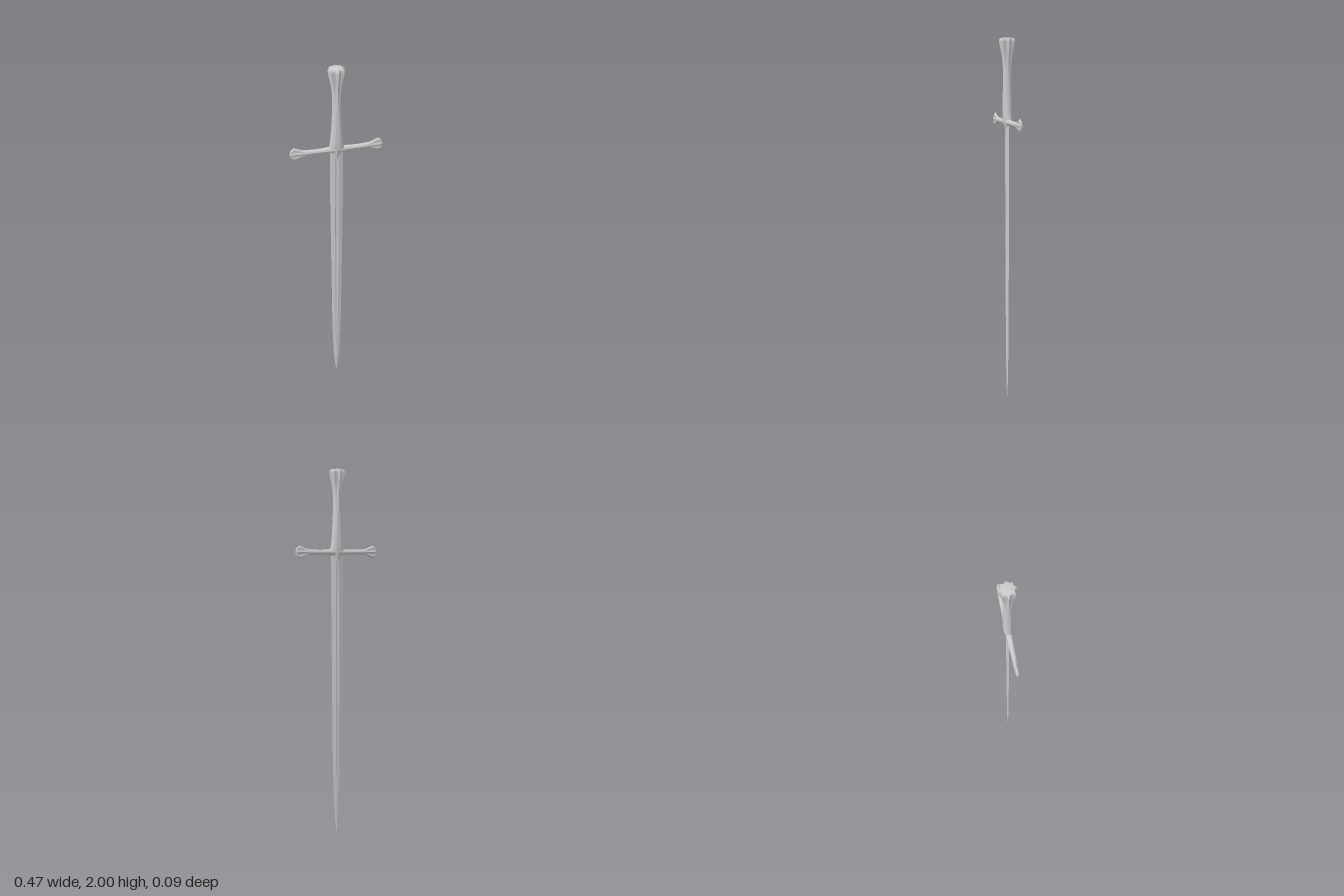
import * as THREE from 'three';
import { toCreasedNormals } from 'three/addons/utils/BufferGeometryUtils.js';

const material = new THREE.MeshStandardMaterial({ color: 0xcccccc });

// Skins rings of [x, y, z] points that run counter-clockwise about the loft direction, with fan caps
function loft(name, rings, crease = 0.6) {
  const n = rings[0].length, points = rings.flat(), index = [];
  const centre = (ring) => [0, 1, 2].map((k) => ring.reduce((s, p) => s + p[k], 0) / n);
  const start = points.length, end = start + 1, last = (rings.length - 1) * n;
  points.push(centre(rings[0]), centre(rings[rings.length - 1]));
  for (let j = 0; j < n; j++) {
    const k = (j + 1) % n;
    for (let i = 0; i < last; i += n) {
      index.push(i + j, i + k, i + n + j, i + k, i + n + k, i + n + j);
    }
    index.push(start, k, j, end, last + j, last + k);
  }
  const geometry = new THREE.BufferGeometry();
  geometry.setAttribute('position', new THREE.Float32BufferAttribute(points.flat(), 3));
  geometry.setIndex(index);
  const mesh = new THREE.Mesh(toCreasedNormals(geometry, crease), material);
  mesh.name = name;
  return mesh;
}

// Smooths a list of stations [position, a, b, c] into evenly spaced steps
function smooth(stations, steps) {
  const tracks = [1, 2, 3].map((k) =>
    new THREE.CatmullRomCurve3(stations.map((s) => new THREE.Vector3(s[0], s[k], 0)), false, 'centripetal'));
  return Array.from({ length: steps + 1 }, (_, i) => {
    const p = tracks.map((t) => t.getPoint(i / steps));
    return [p[0].x, p[0].y, p[1].y, p[2].y];
  });
}

const around = (n, point) => Array.from({ length: n }, (_, j) => point((j / n) * Math.PI * 2));

// Ring across the y axis; flute cuts eight scallops that leave a pointed star
const flutedRing = ([y, w, d, flute]) => around(64, (a) => {
  const f = 1 - flute * Math.abs(Math.sin(4 * a));
  return [Math.sin(a) * w * f, y, Math.cos(a) * d * f];
});

// Grip flaring into a star-shaped pommel: [y, half width, half depth, flute]
function makeGrip() {
  const stations = [
    [1.575, 0.04, 0.022, 0], [1.61, 0.034, 0.024, 0], [1.68, 0.028, 0.024, 0.02],
    [1.78, 0.023, 0.023, 0.04], [1.86, 0.023, 0.024, 0.1], [1.91, 0.028, 0.029, 0.18],
    [1.955, 0.038, 0.039, 0.24], [1.982, 0.043, 0.044, 0.26],
  ];
  const rings = smooth(stations, 36);
  rings.push([1.991, 0.042, 0.043, 0.25], [1.997, 0.036, 0.037, 0.2], [2, 0.02, 0.02, 0.05]);
  return loft('gripAndPommel', rings.map(flutedRing));
}

// Crossguard with fluted fan ends: [distance, half height, half depth, flute]
function makeGuard() {
  const half = smooth([
    [0, 0.021, 0.016, 0], [0.03, 0.017, 0.015, 0], [0.07, 0.013, 0.0135, 0],
    [0.14, 0.0135, 0.012, 0], [0.175, 0.018, 0.011, 0.2], [0.2, 0.029, 0.01, 0.4],
    [0.215, 0.036, 0.0095, 0.4],
  ], 24);
  half.push([0.227, 0.027, 0.009, 0.35], [0.234, 0.018, 0.008, 0.25], [0.237, 0.01, 0.005, 0]);
  const mirrored = half.slice(1).reverse().map(([x, ...rest]) => [-x, ...rest]);
  const rings = [...mirrored, ...half].map(([x, h, d, flute]) => around(48, (a) => {
    const f = 1 - flute * Math.abs(Math.sin(4 * a));
    return [x, 1.57 + Math.cos(a) * h, Math.sin(a) * d * f];
  }));
  return loft('crossguard', rings);
}

// Tapered block at the middle of the guard, ending in a point over the blade
function makeCollar() {
  const rings = [
    [1.5, 0.005, 0.0065], [1.53, 0.016, 0.011], [1.55, 0.028, 0.0155], [1.565, 0.038, 0.019], [1.585, 0.04, 0.022],
  ];
  return loft('guardCollar', rings.map(([y, w, d]) => around(8, (a) => {
    const r = Math.round(a / (Math.PI / 4)) % 2 ? 0.78 : 1;
    return [Math.sin(a) * w * r, y, Math.cos(a) * d * r];
  })));
}

// Double-edged blade with a shallow central fuller: [y, half width, half thickness, fuller depth]
function makeBlade() {
  const stations = [
    [0, 0.0008, 0.0006, 0], [0.05, 0.0075, 0.0018, 0], [0.15, 0.0165, 0.003, 0],
    [0.3, 0.0225, 0.0038, 0.0003], [0.5, 0.0265, 0.0045, 0.0012], [0.9, 0.0305, 0.0055, 0.002],
    [1.3, 0.0345, 0.0062, 0.0025], [1.45, 0.035, 0.0065, 0.002], [1.56, 0.034, 0.007, 0],
  ];
  return loft('blade', smooth(stations, 40).map(([y, w, d, g]) => {
    const front = [[-w, 0], [-0.28 * w, d], [-0.16 * w, d - g], [0, d - g], [0.16 * w, d - g], [0.28 * w, d]];
    return [...front, ...front.map(([x, z]) => [-x, -z])].map(([x, z]) => [x, y, z]);
  }), 0.12);
}

export function createModel() {
  const model = new THREE.Group();
  model.name = 'sword';
  model.add(makeBlade(), makeGuard(), makeCollar(), makeGrip());
  return model;
}
